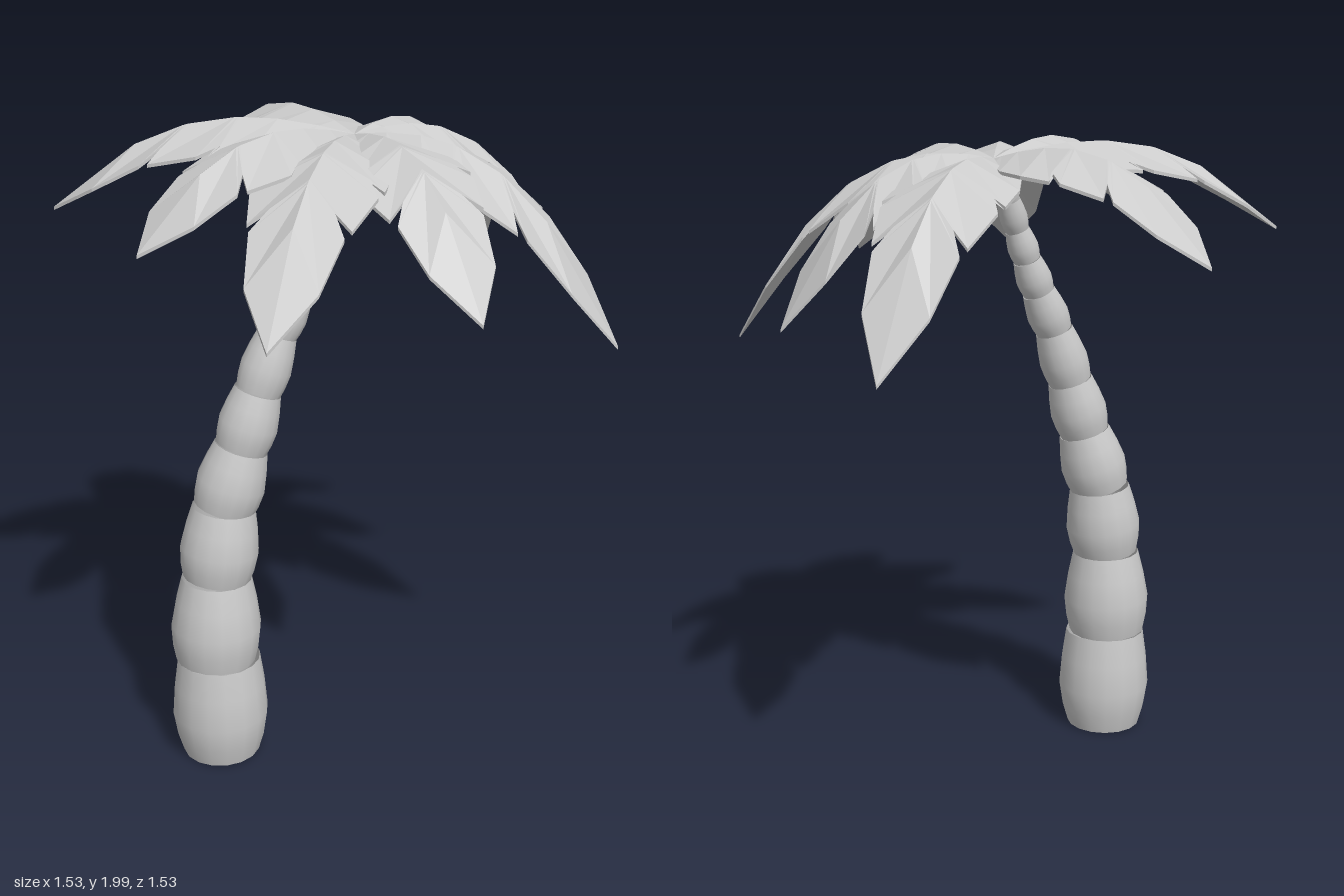
import * as THREE from 'three';

const material = new THREE.MeshStandardMaterial({ color: 0xcccccc, side: THREE.DoubleSide });
const leafMaterial = new THREE.MeshStandardMaterial({ color: 0xcccccc, side: THREE.DoubleSide, flatShading: true });

// Trunk joints: x, y, z, radius
const JOINTS = [
  [-0.47, 0.0, -0.05, 0.127], [-0.48, 0.335, -0.05, 0.13], [-0.468, 0.615, -0.05, 0.109],
  [-0.437, 0.845, -0.045, 0.098], [-0.383, 1.04, -0.022, 0.083], [-0.33, 1.215, -0.005, 0.072],
  [-0.268, 1.385, 0.01, 0.06], [-0.205, 1.515, 0.02, 0.052], [-0.157, 1.62, 0.025, 0.044],
  [-0.118, 1.715, 0.03, 0.038], [-0.075, 1.81, 0.025, 0.035], [-0.02, 1.925, 0.01, 0.028],
];

// Frond tips: x, y, z
const TIPS = [
  [-0.05, 1.69, -0.77], [-0.715, 1.72, -0.51], [-0.765, 1.735, 0.11], [-0.665, 1.585, 0.595],
  [-0.105, 1.595, 0.76], [0.48, 1.385, 0.66], [0.66, 1.485, 0.22], [0.765, 1.42, -0.31],
];

// Half outline of a frond: position on the midrib, position of the edge, half width
const OUTLINE = [
  [0, 0, 0], [0.04, 0.07, 0.07], [0.12, 0.19, 0.15], [0.25, 0.33, 0.188],
  [0.37, 0.46, 0.187], [0.38, 0.425, 0.14], [0.39, 0.5, 0.178],
  [0.54, 0.66, 0.143], [0.55, 0.625, 0.09], [0.56, 0.69, 0.13],
  [0.72, 0.85, 0.1], [1, 1, 0],
];
const ROOT = new THREE.Vector3(0.01, 1.94, 0.005);
const FOLD = 0.35;
const THICKNESS = 0.01;

// One bulging trunk section between two joints
function trunkSection(a, b) {
  const start = new THREE.Vector3(...a);
  const axis = new THREE.Vector3(...b).sub(start);
  const length = axis.length();
  const [r0, r1] = [a[3], b[3]];
  const bulge = (r0 + r1) / 2 * 1.18;
  const profile = [
    [r0 * 0.96, 0], [(r0 + bulge) / 2, length * 0.18], [bulge, length * 0.42],
    [(r1 + bulge) / 2 + r1 * 0.02, length * 0.72], [r1, length],
  ].map(([r, y]) => new THREE.Vector2(r, y));
  const section = new THREE.Mesh(new THREE.LatheGeometry(profile, 16), material);
  section.position.copy(start);
  if (start.y > 0) {
    section.quaternion.setFromUnitVectors(new THREE.Vector3(0, 1, 0), axis.normalize());
  }
  section.name = 'trunkSection';
  return section;
}

// A folded, notched frond arching from the crown to its tip
function frond(tip) {
  const dir = new THREE.Vector3(tip[0] - ROOT.x, 0, tip[2] - ROOT.z);
  const reach = dir.length();
  dir.normalize();
  const across = new THREE.Vector3(dir.z, 0, -dir.x);
  const drop = ROOT.y - tip[1];
  const rise = 0.3 - 0.3 * drop;
  const point = (t, w, under) => {
    const p = ROOT.clone().addScaledVector(dir, t * reach).addScaledVector(across, w);
    p.y += rise * t - (rise + drop) * t ** 2.5 - FOLD * Math.abs(w) - under;
    return p;
  };

  const positions = [];
  const triangle = (...corners) => corners.forEach((p) => positions.push(p.x, p.y, p.z));
  const quad = (a, b, c, d, flip) => {
    if (flip) [b, d] = [d, b];
    triangle(a, b, c);
    triangle(a, c, d);
  };
  for (const side of [1, -1]) {
    for (let i = 0; i < OUTLINE.length - 1; i++) {
      const corners = (under) => {
        const [m0, e0, w0] = OUTLINE[i];
        const [m1, e1, w1] = OUTLINE[i + 1];
        return [point(m0, 0, under), point(e0, side * w0, under),
          point(e1, side * w1, under), point(m1, 0, under)];
      };
      const top = corners(0);
      const bottom = corners(THICKNESS);
      quad(...top, side > 0);
      quad(...bottom, side < 0);
      quad(top[1], bottom[1], bottom[2], top[2], side > 0);
    }
  }
  const geometry = new THREE.BufferGeometry();
  geometry.setAttribute('position', new THREE.Float32BufferAttribute(positions, 3));
  geometry.computeVertexNormals();
  const mesh = new THREE.Mesh(geometry, leafMaterial);
  mesh.name = 'frond';
  return mesh;
}

export function createModel() {
  const model = new THREE.Group();
  model.name = 'palmTree';

  const trunk = new THREE.Group();
  trunk.name = 'trunk';
  for (let i = 0; i < JOINTS.length - 1; i++) trunk.add(trunkSection(JOINTS[i], JOINTS[i + 1]));

  // Flat underside of the trunk
  const base = new THREE.Mesh(new THREE.CircleGeometry(JOINTS[0][3] * 0.96, 16), material);
  base.rotation.x = Math.PI / 2;
  base.position.set(JOINTS[0][0], 0, JOINTS[0][2]);
  base.name = 'trunkBase';
  trunk.add(base);

  const crown = new THREE.Group();
  crown.name = 'crown';
  TIPS.forEach((tip) => crown.add(frond(tip)));

  model.add(trunk, crown);
  return model;
}
